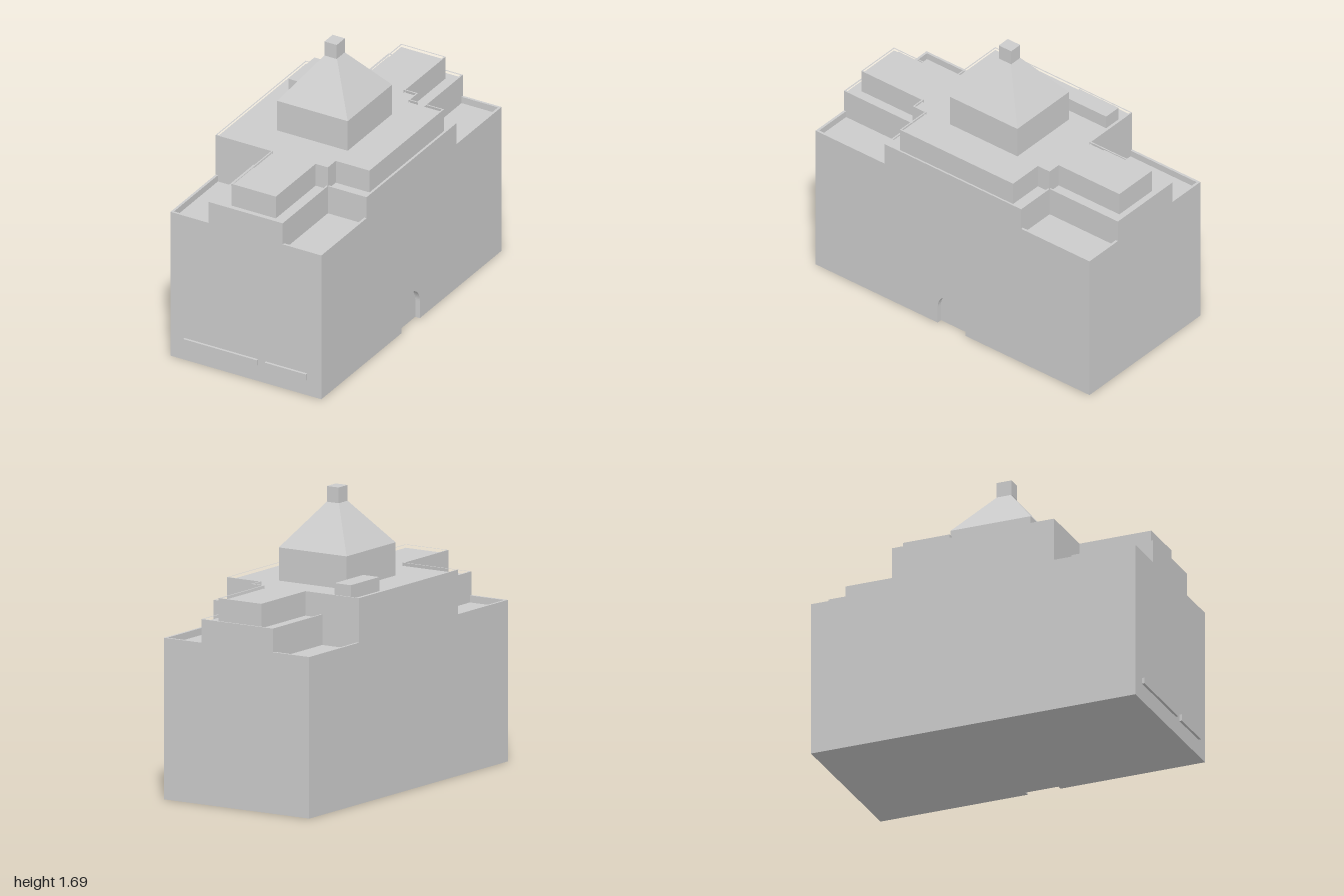
import * as THREE from 'three';

const material = new THREE.MeshStandardMaterial({ color: 0xcccccc, flatShading: true });

export function createModel() {
  const model = new THREE.Group();

  function add(name, geometry) {
    const mesh = new THREE.Mesh(geometry, material);
    mesh.name = name;
    model.add(mesh);
    return mesh;
  }

  // Box given by its limits on each axis
  function box(name, x0, x1, y0, y1, z0, z1) {
    const g = new THREE.BoxGeometry(x1 - x0, y1 - y0, z1 - z0);
    add(name, g.translate((x0 + x1) / 2, (y0 + y1) / 2, (z0 + z1) / 2));
  }

  const toPoints = (plan) => plan.map(([x, z]) => new THREE.Vector2(x, -z));

  // Upright prism over a plan of [x, z] corners, optionally with a hole
  function prism(name, plan, y0, y1, hole) {
    const shape = new THREE.Shape(toPoints(plan));
    if (hole) shape.holes.push(new THREE.Path(toPoints(hole)));
    const g = new THREE.ExtrudeGeometry(shape, { depth: y1 - y0, bevelEnabled: false });
    add(name, g.rotateX(-Math.PI / 2).translate(0, y0, 0));
  }

  // Shrink a right-angled plan listed clockwise as seen in x right, z down
  function inset(plan, d) {
    const n = plan.length;
    const normal = (a, b) => [-Math.sign(b[1] - a[1]) * d, Math.sign(b[0] - a[0]) * d];
    return plan.map((p, i) => {
      const a = normal(plan[(i + n - 1) % n], p);
      const b = normal(p, plan[(i + 1) % n]);
      return [p[0] + a[0] + b[0], p[1] + a[1] + b[1]];
    });
  }

  // Roof tier: a solid slab with a thin parapet round its edge
  function tier(name, plan, y0, y1, rim, depth) {
    prism(name, plan, y0, y1 - depth, null);
    prism(name + 'Parapet', plan, y1 - depth, y1, inset(plan, rim));
  }

  const L = -0.4925, R = 0.4925, B = -1, F = 0.985; // outer walls
  const zb = -0.505, zf = 0.487;                    // ends of the central block
  const wl = -0.245, wr = 0.24;                     // sides of the wings
  const terrace = 0.885;

  // Main body, with an arched doorway recessed into the +x wall
  const recess = 0.03;
  box('mainBody', L, R - recess, 0, terrace, B, F);
  const wall = new THREE.Shape();
  wall.moveTo(-F, 0);
  wall.lineTo(-0.1, 0);
  wall.lineTo(-0.1, 0.11);
  wall.absarc(0, 0.11, 0.1, Math.PI, 0, true);
  wall.lineTo(0.1, 0);
  wall.lineTo(-B, 0);
  wall.lineTo(-B, terrace);
  wall.lineTo(-F, terrace);
  const wallGeometry = new THREE.ExtrudeGeometry(wall, { depth: recess, bevelEnabled: false, curveSegments: 16 });
  add('doorwayWall', wallGeometry.rotateY(Math.PI / 2).translate(R - recess, 0, 0));

  // L-shaped parapets round the four corner terraces
  const t = 0.015;
  for (const [x, xi] of [[L, wl], [R, wr]]) {
    for (const [z, zi] of [[B, zb], [F, zf]]) {
      const xt = x - Math.sign(x) * t, zt = z - Math.sign(z) * t;
      prism('terraceParapet', [[x, z], [xi, z], [xi, zt], [xt, zt], [xt, zi], [x, zi]], terrace, 0.925);
    }
  }

  // Middle tier: cross-shaped
  const middle = [
    [wl, B], [wr, B], [wr, zb], [R, zb], [R, zf], [wr, zf],
    [wr, F], [wl, F], [wl, zf], [L, zf], [L, zb], [wl, zb],
  ];
  tier('middleTier', middle, terrace, 1.06, 0.01, 0.02);

  // Upper tier: narrower wings, stepped in on the +x side
  const upper = [
    [-0.13, -0.945], [0.16, -0.945], [0.16, zb], [wr, zb], [wr, -0.42], [0.46, -0.42],
    [0.46, 0.4], [wr, 0.4], [wr, zf], [0.16, zf], [0.16, 0.925], [-0.13, 0.925],
    [-0.13, zf], [L, zf], [L, zb], [-0.13, zb],
  ];
  tier('upperTier', upper, 1.04, 1.18, 0.008, 0.02);

  // Tower with a hipped roof and a small cap
  box('tower', -0.24, 0.22, 1.16, 1.35, -0.255, 0.235);
  const r = Math.SQRT1_2;
  const roof = new THREE.CylinderGeometry(r * 0.178, r, 0.25, 4);
  roof.rotateY(Math.PI / 4).scale(0.46, 1, 0.49).translate(-0.01, 1.475, -0.01);
  add('towerRoof', roof);
  box('towerCap', -0.05, 0.03, 1.6, 1.69, -0.055, 0.035);

  // Rooftop plant box
  box('roofUnit', -0.415, -0.305, 1.16, 1.24, -0.47, -0.185);

  // Raised strips on the front wall
  box('frontStripLong', -0.4, 0.08, 0.105, 0.14, F, 1);
  box('frontStripShort', 0.13, 0.4, 0.1, 0.14, F, 1);

  return model;
}
